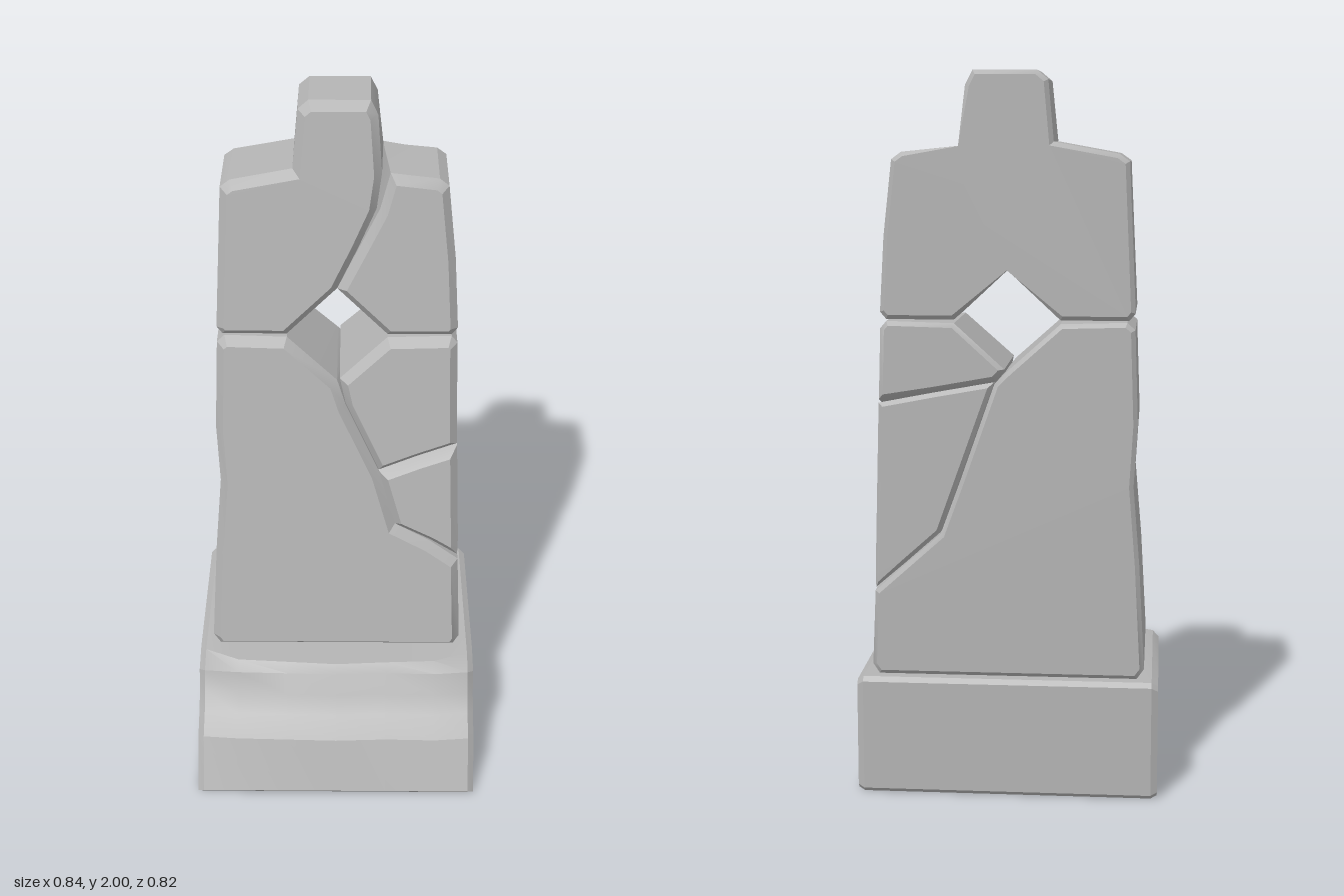
import * as THREE from 'three';
import { toCreasedNormals } from 'three/addons/utils/BufferGeometryUtils.js';

const BACK = -0.385;
// Sloping front plane of the slab
const frontZ = (y) => 0.12 - (y - 0.35) * 0.176;

// Skins a row of equal-length rings and closes both ends; flat() gives the 2D cap coordinates
function loft(rings, flat) {
  const pos = [];
  const n = rings[0].length;
  const tri = (a, b, c) => pos.push(...a, ...b, ...c);
  for (let i = 0; i < rings.length - 1; i++) {
    for (let j = 0; j < n; j++) {
      const k = (j + 1) % n;
      const [a, b, c, d] = [rings[i][j], rings[i][k], rings[i + 1][k], rings[i + 1][j]];
      tri(a, b, c);
      tri(a, c, d);
    }
  }
  const cap = (ring, flip) => {
    const pts = ring.map((p) => new THREE.Vector2(...flat(p)));
    for (const [a, b, c] of THREE.ShapeUtils.triangulateShape(pts, [])) {
      if (flip) tri(ring[a], ring[c], ring[b]);
      else tri(ring[a], ring[b], ring[c]);
    }
  };
  cap(rings[0], true);
  cap(rings[rings.length - 1], false);
  const geo = new THREE.BufferGeometry();
  geo.setAttribute('position', new THREE.Float32BufferAttribute(pos, 3));
  return toCreasedNormals(geo, 0.5);
}

// Moves a counter-clockwise outline inwards; a third value per point scales the move
function inset(pts, amount) {
  const n = pts.length;
  const normal = (a, b) => {
    const l = Math.hypot(b[0] - a[0], b[1] - a[1]);
    return [-(b[1] - a[1]) / l, (b[0] - a[0]) / l];
  };
  return pts.map((p, i) => {
    const u = normal(pts[(i + n - 1) % n], p);
    const v = normal(p, pts[(i + 1) % n]);
    const s = (amount * (p[2] ?? 1)) / Math.max(0.5, 1 + u[0] * v[0] + u[1] * v[1]);
    return [p[0] + (u[0] + v[0]) * s, p[1] + (u[1] + v[1]) * s];
  });
}

// Block of the slab with bevelled front and back edges
function block(front, back = front, bevel = 0.022) {
  const rings = [
    inset(back, 0.012).map(([x, y]) => [x, y, BACK]),
    back.map(([x, y]) => [x, y, BACK + 0.012]),
    front.map(([x, y]) => [x, y, frontZ(y) - 0.028]),
    inset(front, bevel).map(([x, y]) => [x, y, frontZ(y)]),
  ];
  return loft(rings, (p) => [p[0], p[1]]);
}

// Plinth: side profile swept along x, with a worn top edge and bevelled ends
function plinth() {
  const section = (x, topZ, wear, shrink) => {
    const profile = [
      [0.4, 0], [-0.4, 0], [-0.412, 0.012], [-0.412, 0.322], [-0.4, 0.335],
      [topZ, 0.335], [0.215 - wear, 0.312], [0.24 - wear, 0.25], [0.282 - wear, 0.206],
      [0.35 - wear, 0.165], [0.412, 0.014],
    ];
    return profile.map(([z, y]) => [
      x,
      y < 0.013 ? y + shrink * 0.5 : y - shrink,
      z - Math.sign(z) * shrink,
    ]);
  };
  const rings = [
    section(-0.42, 0.11, 0.02, 0.012),
    section(-0.402, 0.13, 0.012, 0),
    section(-0.3, 0.178, 0.004, 0),
    section(-0.15, 0.188, 0, 0),
    section(0, 0.198, -0.004, 0),
    section(0.15, 0.188, 0.003, 0),
    section(0.3, 0.18, 0, 0),
    section(0.402, 0.14, 0.01, 0),
    section(0.42, 0.12, 0.018, 0.012),
  ];
  return loft(rings, (p) => [-p[2], p[1]]);
}

export function createModel() {
  const group = new THREE.Group();
  const stone = new THREE.MeshStandardMaterial({ color: 0xb4b4b4 });
  stone.name = 'grey stone';
  const add = (name, geometry) => {
    const mesh = new THREE.Mesh(geometry, stone);
    mesh.name = name;
    group.add(mesh);
  };

  add('plinth', plinth());

  // Large lower block, its right edge following the crack
  const lowerLeft = [
    [0, 1.195], [-0.145, 1.325], [-0.325, 1.33], [-0.347, 1.31], [-0.356, 1.05],
    [-0.346, 0.88], [-0.364, 0.66], [-0.38, 0.365], [-0.36, 0.337],
  ];
  add('mainBlock', block(
    [[0.36, 0.337], [0.378, 0.365], [0.367, 0.625], [0.28, 0.685], [0.175, 0.74],
      [0.125, 0.91], [0.025, 1.12], ...lowerLeft],
    [[0.36, 0.337], [0.378, 0.365], [0.369, 0.575], [0.28, 0.655], [0.185, 0.74],
      [0.13, 0.89], [0.035, 1.16], ...lowerLeft],
  ));

  // Two broken chunks set against the main block
  add('middleChunk', block(
    [[0.175, 0.74], [0.28, 0.69], [0.365, 0.64], [0.366, 0.69], [0.355, 0.995],
      [0.24, 0.955], [0.125, 0.91]],
    [[0.185, 0.745], [0.28, 0.66], [0.367, 0.585], [0.368, 0.63], [0.354, 1.105],
      [0.2, 1.135], [0.035, 1.165]],
  ));
  add('upperChunk', block(
    [[0.125, 0.915], [0.24, 0.96], [0.354, 1.0], [0.347, 1.31], [0.33, 1.33],
      [0.145, 1.325], [0.008, 1.2], [0.025, 1.125]],
    [[0.035, 1.17], [0.2, 1.14], [0.353, 1.115], [0.347, 1.31], [0.33, 1.33],
      [0.145, 1.325], [0.008, 1.2], [0.02, 1.185]],
  ));

  // Crown with its stub on top, split by a crack that fades towards the back
  const crownOutline = [
    [0.112, 1.96], [0.092, 2], [-0.08, 2], [-0.11, 1.975], [-0.125, 1.812],
    [-0.3, 1.78], [-0.328, 1.76], [-0.347, 1.355], [-0.33, 1.335], [-0.145, 1.335],
  ];
  add('crown', block(
    [[0, 1.47], [0.06, 1.59], [0.11, 1.7], [0.124, 1.8], ...crownOutline],
    [[0, 1.47, 0], [0.06, 1.59, 0], [0.115, 1.7, 0], [0.13, 1.8, 0], ...crownOutline],
  ));
  const shoulderOutline = [
    [0.145, 1.335], [0.33, 1.335], [0.347, 1.355], [0.335, 1.56], [0.312, 1.765], [0.285, 1.785],
  ];
  add('shoulderChunk', block(
    [...shoulderOutline, [0.148, 1.8], [0.12, 1.7], [0.063, 1.59], [0, 1.47]],
    [...shoulderOutline, [0.13, 1.8, 0], [0.115, 1.7, 0], [0.06, 1.59, 0], [0, 1.47, 0]],
  ));

  return group;
}
